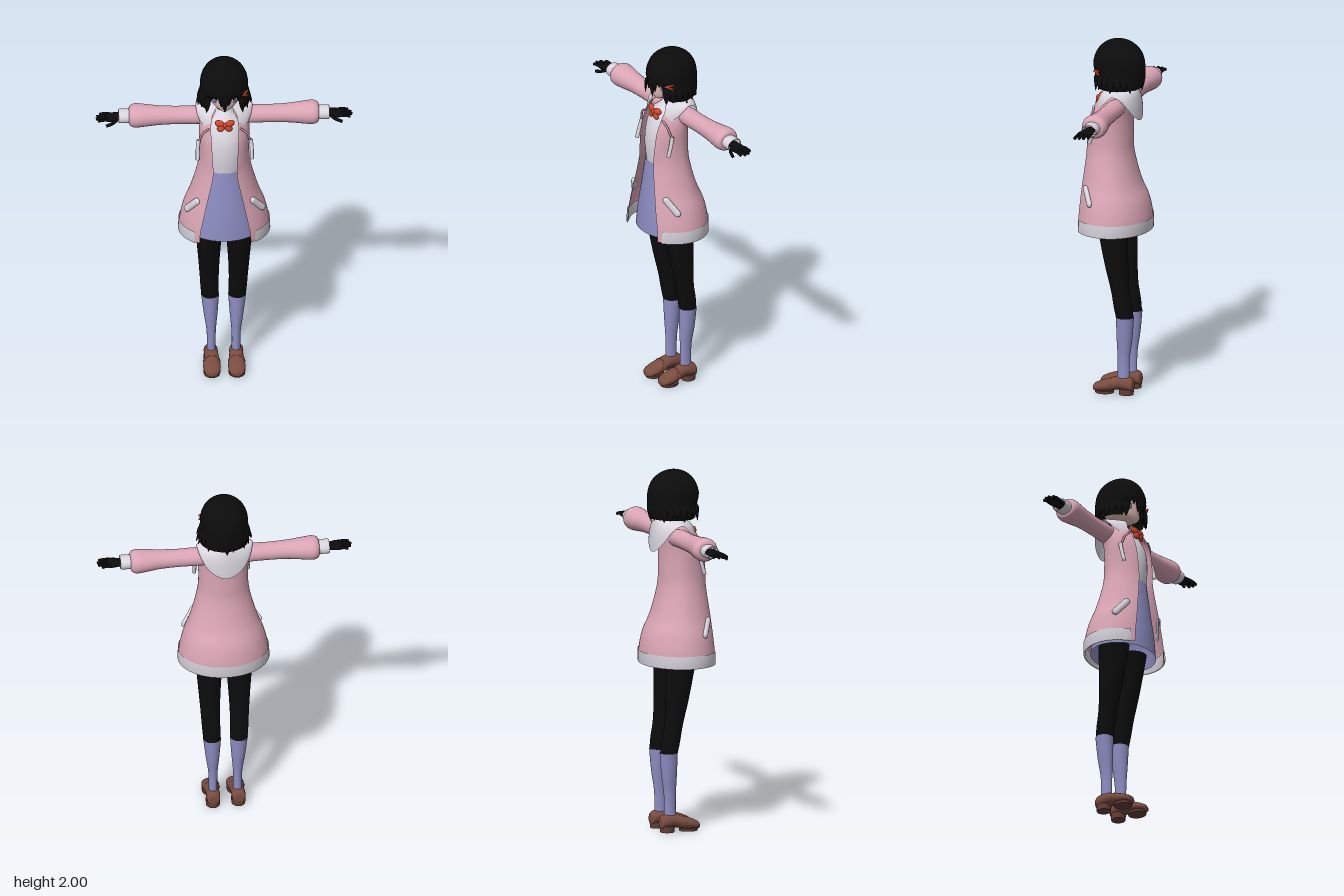
import * as THREE from 'three';

const paint = (name, color) => Object.assign(new THREE.MeshStandardMaterial({ color, side: THREE.DoubleSide }), { name });

// Grid surface from a rule p(u, v) -> [x, y, z]
function grid(rule, nu, nv, closed = false) {
  const pos = [], idx = [], cols = closed ? nu : nu + 1;
  for (let j = 0; j <= nv; j++) for (let i = 0; i < cols; i++) pos.push(...rule(i / nu, j / nv));
  for (let j = 0; j < nv; j++) for (let i = 0; i < nu; i++) {
    const a = j * cols + i, b = j * cols + (i + 1) % cols;
    idx.push(a, b, b + cols, a, b + cols, a + cols);
  }
  const g = new THREE.BufferGeometry();
  g.setAttribute('position', new THREE.Float32BufferAttribute(pos, 3));
  g.setIndex(idx);
  g.computeVertexNormals();
  return g;
}

// Loft through rings [y, centreX, halfWidth, zFront, zBack, zWidest, frontGap]
function loft(rings, n = 28, steps = 4) {
  const full = rings.map(([y, cx, w, f, b, zc = (f + b) / 2, gap = 0]) => [y, cx, w, f, b, zc, gap]);
  const last = full.length - 1, open = full[0][6] > 0;
  const ringAt = (v) => {
    const t = v * last, i = Math.min(Math.floor(t), last - 1), s = t - i;
    const [p, q, r, k] = [i - 1, i, i + 1, i + 2].map((m) => full[Math.min(Math.max(m, 0), last)]);
    return q.map((_, c) => steps === 1 ? q[c] + (r[c] - q[c]) * s : q[c] + 0.5 * s * (r[c] - p[c]
      + s * (2 * p[c] - 5 * q[c] + 4 * r[c] - k[c] + s * (3 * (q[c] - r[c]) + k[c] - p[c]))));
  };
  return grid((u, v) => {
    const [y, cx, w, f, b, zc, gap] = ringAt(v);
    const a0 = open ? Math.asin(Math.min(gap / w, 0.95)) : 0;
    const a = a0 + u * 2 * (Math.PI - a0), c = Math.cos(a);
    return [cx + w * Math.sin(a), y, zc + c * (c > 0 ? (f - zc) / Math.cos(a0) : zc - b)];
  }, n, last * steps, !open);
}

function mirrored(geo) {
  const g = geo.clone().scale(-1, 1, 1), ix = g.index;
  for (let i = 0; i < ix.count; i += 3) {
    const t = ix.getX(i);
    ix.setX(i, ix.getX(i + 1));
    ix.setX(i + 1, t);
  }
  return g;
}

export function createModel() {
  const model = new THREE.Group();
  model.name = 'girlInHoodedJacket';
  const black = paint('black', 0x0c0c0d), pink = paint('jacket pink', 0xdaa5b5), white = paint('soft white', 0xdad6df);
  const lavender = paint('lavender', 0x8e8ec4), brown = paint('shoe brown', 0x7a4c40), sole = paint('sole brown', 0x66403a);
  const red = paint('ribbon red', 0xdb4a30), skin = paint('skin', 0xf0c8c0), iris = paint('eye violet', 0x6f69a8);
  const add = (name, geo, mat) => {
    const m = new THREE.Mesh(geo, mat);
    m.name = name;
    model.add(m);
    return m;
  };
  const pair = (name, geo, mat) => {
    add(name + 'Left', geo, mat);
    add(name + 'Right', mirrored(geo), mat);
  };
  const tube = (points, r) => new THREE.TubeGeometry(
    new THREE.CatmullRomCurve3(points.map((p) => new THREE.Vector3(...p))), 12, r, 8);
  const ball = (x, y, z, sx, sy, sz, turn = 0, roll = 0) =>
    new THREE.SphereGeometry(1, 16, 12).scale(sx, sy, sz).rotateZ(roll).rotateY(turn).translate(x, y, z);

  // Legs, socks and shoes
  pair('tights', loft([[0.43, 0.074, 0.047, -0.014, -0.109], [0.5, 0.077, 0.05, 0, -0.102], [0.6, 0.08, 0.053, 0.016, -0.085],
    [0.75, 0.082, 0.062, 0.052, -0.08], [0.97, 0.083, 0.079, 0.095, -0.08]]), black);
  pair('sock', loft([[0.06, 0.068, 0.024, -0.018, -0.085], [0.2, 0.068, 0.025, -0.018, -0.086],
    [0.32, 0.071, 0.038, -0.014, -0.102], [0.44, 0.074, 0.049, -0.012, -0.111]]), lavender);
  pair('shoe', loft([[-0.11, 0.07, 0.001, -0.05, -0.05], [-0.107, 0.07, 0.03, -0.02, -0.08], [-0.085, 0.07, 0.038, -0.02, -0.098],
    [-0.03, 0.068, 0.038, -0.025, -0.1], [0.01, 0.068, 0.043, -0.016, -0.088], [0.06, 0.068, 0.048, -0.008, -0.072],
    [0.1, 0.068, 0.04, -0.008, -0.055], [0.117, 0.068, 0.022, -0.01, -0.042], [0.121, 0.068, 0.001, -0.025, -0.025]])
    .rotateX(Math.PI / 2), brown);
  pair('heel', new THREE.CylinderGeometry(0.04, 0.038, 0.035, 20).scale(1, 1, 1.05).translate(0.07, 0.0175, -0.068), sole);
  pair('frontSole', new THREE.CylinderGeometry(0.047, 0.045, 0.016, 24).scale(1, 1, 1.15).translate(0.068, 0.008, 0.058), sole);
  pair('shoeStrap', new THREE.TorusGeometry(0.042, 0.006, 6, 20, Math.PI).scale(1, 0.95, 2)
    .rotateX(-0.4).translate(0.068, 0.046, 0.022), brown);

  // Skirt and blouse
  add('skirt', loft([[0.935, 0, 0.205, 0.178, -0.155], [1.05, 0, 0.185, 0.172, -0.135], [1.2, 0, 0.145, 0.158, -0.09],
    [1.355, 0, 0.112, 0.142, -0.06]], 36), lavender);
  add('blouse', loft([[1.345, 0, 0.108, 0.138, -0.06], [1.45, 0, 0.115, 0.146, -0.06], [1.55, 0, 0.115, 0.135, -0.06],
    [1.63, 0, 0.1, 0.1, -0.06], [1.68, 0, 0.05, 0.06, -0.05], [1.705, 0, 0.036, 0.035, -0.04]], 32), white);

  // Open jacket with a folded hem
  add('jacketBody', loft([[0.932, 0, 0.247, 0.187, -0.183, 0.02, 0.14], [1, 0, 0.244, 0.186, -0.185, 0.02, 0.135],
    [1.1, 0, 0.222, 0.182, -0.165, 0.02, 0.115], [1.2, 0, 0.185, 0.175, -0.122, 0.02, 0.095],
    [1.35, 0, 0.146, 0.163, -0.085, 0.03, 0.065], [1.45, 0, 0.136, 0.158, -0.08, 0.03, 0.068],
    [1.55, 0, 0.138, 0.145, -0.08, 0.03, 0.072], [1.62, 0, 0.135, 0.12, -0.085, 0.01, 0.075],
    [1.67, 0, 0.115, 0.09, -0.09, -0.01, 0.07], [1.71, 0, 0.07, 0.055, -0.08, -0.01, 0.045]], 48), pink);
  add('jacketHem', loft([[1, 0, 0.238, 0.164, -0.179, 0.02, 0.165], [0.93, 0, 0.24, 0.164, -0.179, 0.02, 0.165],
    [0.93, 0, 0.252, 0.178, -0.188, 0.02, 0.165], [1, 0, 0.249, 0.176, -0.19, 0.02, 0.165]], 48, 1), white);

  // Pocket trims
  const along = new THREE.Vector3(-0.075, 0.1, 0.055).normalize();
  const out = new THREE.Vector3(0.62, 0.2, 0.78);
  const across = new THREE.Vector3().crossVectors(along, out).normalize();
  out.crossVectors(across, along);
  pair('pocketTrim', new THREE.CapsuleGeometry(0.019, 0.095, 6, 14).scale(1, 1, 0.65)
    .applyMatrix4(new THREE.Matrix4().makeBasis(across, along, out).setPosition(0.18, 1.142, 0.12)), white);

  // Sleeves, cuffs and gloved hands, lofted outwards along x
  const limb = (rings) => loft(rings, 24).rotateZ(-Math.PI / 2);
  pair('sleeve', limb([[0.07, -1.635, 0.045, 0.03, -0.07], [0.14, -1.64, 0.05, 0.035, -0.072], [0.25, -1.64, 0.049, 0.033, -0.07],
    [0.35, -1.641, 0.053, 0.036, -0.073], [0.43, -1.641, 0.061, 0.045, -0.085], [0.485, -1.641, 0.065, 0.05, -0.092],
    [0.513, -1.641, 0.054, 0.04, -0.08], [0.52, -1.641, 0.035, 0.02, -0.06]]), pink);
  pair('cuff', limb([[0.5, -1.641, 0.036, 0.025, -0.062], [0.54, -1.641, 0.038, 0.027, -0.064], [0.572, -1.641, 0.037, 0.026, -0.063],
    [0.576, -1.641, 0.03, 0.02, -0.056]]), white);
  pair('palm', limb([[0.55, -1.64, 0.02, 0.01, -0.045], [0.58, -1.64, 0.02, 0.012, -0.046], [0.61, -1.638, 0.017, 0.028, -0.053],
    [0.64, -1.637, 0.013, 0.026, -0.052], [0.65, -1.637, 0.003, 0.01, -0.035]]), black);
  [[-0.046, 0.678], [-0.024, 0.696], [-0.002, 0.7], [0.02, 0.69]].forEach(([z, tip], i) =>
    pair('finger' + (i + 1), tube([[0.625, 1.64, z], [0.66, 1.64, z], [tip, 1.635, z * 1.05]], 0.0085), black));
  pair('thumb', tube([[0.585, 1.635, 0.012], [0.61, 1.625, 0.032], [0.645, 1.615, 0.042]], 0.009), black);

  // Hood lying over the shoulders, longest at the back
  add('hood', grid((u, v) => {
    const a = 0.55 + (1 - u) * 2 * (Math.PI - 0.55), s = Math.sin(a), c = Math.cos(a), back = Math.max(0, -c);
    const r = Math.sin(v * Math.PI / 2), drop = v ** 2 * (c > 0 ? 0.13 * c : 0.03 * back + 0.13 * back ** 3);
    const point = 0.018 * v * Math.sin(2 * a) ** 2 * back;
    return [s * (0.058 + 0.097 * r + point), 1.735 - 0.022 * v - drop - point, c * (c > 0 ? 0.055 + 0.075 * r : 0.085 + 0.035 * r) - 0.01];
  }, 48, 8), white);

  // Drawstrings
  pair('cord', tube([[0.085, 1.63, 0.115], [0.118, 1.6, 0.108], [0.142, 1.535, 0.092]], 0.006), pink);
  pair('cordEnd', tube([[0.142, 1.545, 0.09], [0.147, 1.5, 0.102], [0.148, 1.435, 0.12]], 0.011), white);

  // Neck, choker and ribbon bow
  add('neck', new THREE.CylinderGeometry(0.034, 0.036, 0.1, 20).translate(0, 1.72, 0), skin);
  add('choker', new THREE.CylinderGeometry(0.039, 0.04, 0.03, 24).translate(0, 1.7, 0), black);
  add('chokerBand', new THREE.TorusGeometry(0.04, 0.005, 6, 24).rotateX(Math.PI / 2).translate(0, 1.713, 0), red);
  pair('bowLoop', ball(0.028, 1.66, 0.108, 0.028, 0.021, 0.012, 0.2, 0.3), red);
  pair('bowTail', ball(0.022, 1.632, 0.115, 0.022, 0.018, 0.009, 0.2, -0.7), red);
  add('bowKnot', ball(0, 1.652, 0.116, 0.011, 0.014, 0.011), red);

  // Head and eyes
  add('head', loft([[1.724, 0, 0.002, 0.08, 0.06], [1.73, 0, 0.025, 0.097, 0], [1.755, 0, 0.066, 0.107, -0.06],
    [1.8, 0, 0.094, 0.112, -0.1], [1.86, 0, 0.1, 0.112, -0.11], [1.93, 0, 0.08, 0.08, -0.09], [1.96, 0, 0.01, 0.01, -0.01]]), skin);
  pair('eyeWhite', ball(0.054, 1.803, 0.091, 0.022, 0.014, 0.0045, 0.5), white);
  pair('iris', ball(0.054, 1.802, 0.094, 0.012, 0.014, 0.0045, 0.5), iris);
  pair('eyelid', ball(0.054, 1.818, 0.092, 0.025, 0.004, 0.005, 0.5), black);

  // Bobbed hair: crown, back curtain and pointed locks
  add('hairCrown', loft([[1.838, 0, 0.131, 0.134, -0.149, 0], [1.87, 0, 0.131, 0.138, -0.147, 0], [1.91, 0, 0.123, 0.128, -0.138, 0],
    [1.95, 0, 0.102, 0.107, -0.115, 0], [1.982, 0, 0.066, 0.07, -0.075, 0], [1.997, 0, 0.03, 0.03, -0.035, 0],
    [2, 0, 0.001, 0.001, -0.001, 0]], 36), black);
  add('hairBack', loft([[1.738, 0, 0.137, 0.078, -0.137, 0, 0.1], [1.79, 0, 0.136, 0.09, -0.149, 0, 0.092],
    [1.86, 0, 0.13, 0.1, -0.148, 0, 0.08]], 36), black);
  const lock = (name, deg, R, top, tip, w, flare) => add(name, loft([
    [tip, 0, 0.001, R + flare + 0.001, R + flare - 0.001], [tip + (top - tip) * 0.4, 0, w * 0.7, R + flare * 0.4 + 0.007, R + flare * 0.4 - 0.007],
    [top - 0.02, 0, w, R + 0.008, R - 0.01], [top, 0, w * 0.7, R - 0.002, R - 0.02]], 10)
    .rotateY(deg * Math.PI / 180), black);
  for (let i = 0; i < 19; i++) {
    const deg = 45 + i * 15, side = Math.abs(Math.sin(deg * Math.PI / 180));
    lock('hairLock' + (i + 1), deg, 0.143 - 0.011 * side, 1.82, 1.715 + (i % 3) * 0.01 + 0.015 * side, 0.024, 0.022 * side ** 3 - 0.01 * (1 - side));
  }
  [[-52, 1.76], [-36, 1.805], [-22, 1.815], [-9, 1.775], [0, 1.742], [10, 1.78], [23, 1.815], [37, 1.8], [52, 1.76]].forEach(([deg, tip], i) =>
    lock('bang' + (i + 1), deg, 0.128, 1.875, tip, i === 4 ? 0.024 : 0.02, -0.006));

  // Crossed hair clips
  [0.25, -0.35].forEach((roll, i) => add('hairClip' + (i + 1), new THREE.BoxGeometry(0.05, 0.009, 0.008)
    .rotateZ(roll).translate(0, 1.842 - i * 0.012, 0.143).rotateY(0.9), red));
  return model;
}
